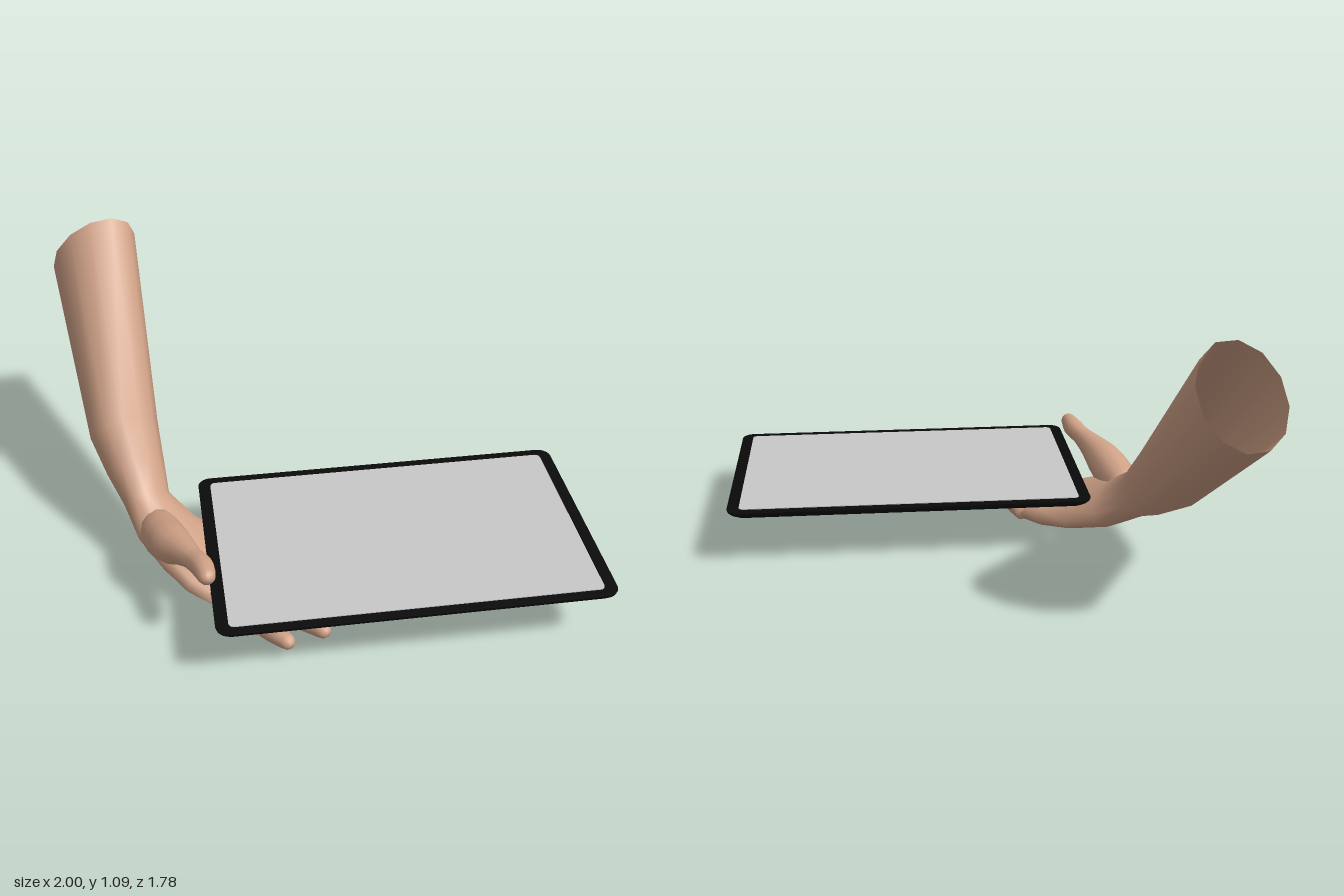
import * as THREE from 'three';

const V3 = (a) => new THREE.Vector3(a[0], a[1], a[2]);

// Skin stretched over elliptical rings; each ring is { c, u, v } (centre and two half axes)
function loft(rings, sides, capStart, capEnd) {
  const pos = [], index = [];
  for (const { c, u, v } of rings) {
    for (let i = 0; i < sides; i++) {
      const a = (i / sides) * Math.PI * 2;
      const p = c.clone().addScaledVector(u, Math.cos(a)).addScaledVector(v, Math.sin(a));
      pos.push(p.x, p.y, p.z);
    }
  }
  for (let r = 0; r < rings.length - 1; r++) {
    for (let i = 0; i < sides; i++) {
      const j = (i + 1) % sides;
      const a = r * sides + i, b = r * sides + j;
      index.push(a, b, b + sides, a, b + sides, a + sides);
    }
  }
  const cap = (r, flip) => {
    const n = pos.length / 3;
    pos.push(...rings[r].c.toArray());
    for (let i = 0; i < sides; i++) {
      const a = r * sides + i, b = r * sides + ((i + 1) % sides);
      index.push(n, flip ? b : a, flip ? a : b);
    }
  };
  if (capStart) cap(0, true);
  if (capEnd) cap(rings.length - 1, false);
  const g = new THREE.BufferGeometry();
  g.setAttribute('position', new THREE.Float32BufferAttribute(pos, 3));
  g.setIndex(index);
  g.computeVertexNormals();
  return g;
}

// Round-tipped digit along a smooth path; each point is [x, y, z, radius]
function digit(points) {
  const path = new THREE.CatmullRomCurve3(points.map(V3));
  const radii = new THREE.CatmullRomCurve3(points.map((p) => new THREE.Vector3(p[3], 0, 0)));
  const ring = (t, shrink, push) => {
    const dir = path.getTangent(t);
    const u = new THREE.Vector3(0, 1, 0).cross(dir).normalize();
    const v = dir.clone().cross(u);
    const r = radii.getPoint(t).x;
    return {
      c: path.getPoint(t).addScaledVector(dir, push * r),
      u: u.multiplyScalar(r * shrink),
      v: v.multiplyScalar(r * shrink),
    };
  };
  const rings = [];
  for (let i = 0; i <= 14; i++) rings.push(ring(i / 14, 1, 0));
  for (const a of [0.5, 0.95, 1.35]) rings.push(ring(1, Math.cos(a), Math.sin(a)));
  return loft(rings, 12, true, true);
}

function roundedRect(w, d, r) {
  const x = w / 2, y = d / 2, s = new THREE.Shape();
  s.absarc(x - r, y - r, r, 0, Math.PI / 2);
  s.absarc(-x + r, y - r, r, Math.PI / 2, Math.PI);
  s.absarc(-x + r, -y + r, r, Math.PI, Math.PI * 1.5);
  s.absarc(x - r, -y + r, r, Math.PI * 1.5, Math.PI * 2);
  return s;
}

export function createModel() {
  const skin = new THREE.MeshStandardMaterial({ color: 0xd0a287, side: THREE.DoubleSide });
  skin.name = 'skin';
  const black = new THREE.MeshStandardMaterial({ color: 0x0a0a0b });
  black.name = 'black casing';
  const grey = new THREE.MeshStandardMaterial({ color: 0xc8c8c8 });
  grey.name = 'grey screen';

  const model = new THREE.Group();
  model.name = 'handHoldingTablet';
  const add = (parent, name, geometry, material) => {
    const m = new THREE.Mesh(geometry, material);
    m.name = name;
    parent.add(m);
    return m;
  };

  // Tablet casing, tapering in towards its underside
  const tablet = new THREE.Group();
  tablet.name = 'tablet';
  tablet.position.set(0.2625, 0.21, 0.43);
  model.add(tablet);
  const W = 1.475, D = 0.92, H = 0.03;
  const casing = new THREE.ExtrudeGeometry(roundedRect(W, D, 0.05), {
    depth: H, steps: 3, bevelEnabled: false, curveSegments: 6,
  });
  const p = casing.attributes.position;
  for (let i = 0; i < p.count; i++) {
    const inset = 0.025 * (1 - p.getZ(i) / H) ** 2;
    p.setX(i, p.getX(i) * (1 - (2 * inset) / W));
    p.setY(i, p.getY(i) * (1 - (2 * inset) / D));
  }
  casing.rotateX(-Math.PI / 2);
  casing.computeVertexNormals();
  add(tablet, 'casing', casing, black);

  // Screen plate
  const screen = new THREE.ExtrudeGeometry(roundedRect(1.38, 0.845, 0.02), {
    depth: 0.003, bevelEnabled: false, curveSegments: 4,
  });
  screen.rotateX(-Math.PI / 2);
  add(tablet, 'screen', screen, grey).position.y = H;

  // Forearm, open at the elbow, flowing through the wrist into the cupped palm
  const arm = new THREE.Group();
  arm.name = 'arm';
  model.add(arm);
  const sections = [
    [[-0.825, 0.93, -0.79], [0.174, 0.05, -0.03], [0, 0.17, 0.095]],
    [[-0.755, 0.416, -0.18], [0.137, 0.02, -0.02], [0, 0.118, 0.1]],
    [[-0.72, 0.315, -0.05], [0.115, 0.01, -0.02], [0, 0.098, 0.09]],
    [[-0.685, 0.235, 0.06], [0.09, 0, -0.03], [0, 0.077, 0.075]],
    [[-0.61, 0.155, 0.16], [0.115, -0.02, -0.08], [0.01, 0.08, 0.055]],
    [[-0.51, 0.11, 0.265], [0.135, -0.035, -0.115], [0.02, 0.078, 0.03]],
    [[-0.42, 0.08, 0.345], [0.143, -0.02, -0.13], [0.01, 0.07, 0.015]],
    [[-0.335, 0.068, 0.405], [0.137, 0, -0.127], [0, 0.06, 0]],
    [[-0.3, 0.072, 0.44], [0.12, 0, -0.11], [0, 0.035, 0]],
  ].map(([c, u, v]) => ({ c: V3(c), u: V3(u), v: V3(v) }));
  add(arm, 'forearmAndPalm', loft(sections, 12, false, true), skin);

  // Fingers from knuckle to tip
  const fingers = [
    ['indexFinger', [-0.44, 0.075, 0.48], [-0.215, 0.085, 0.79], 0.05],
    ['middleFinger', [-0.36, 0.07, 0.42], [-0.08, 0.1, 0.765], 0.052],
    ['ringFinger', [-0.29, 0.068, 0.34], [-0.02, 0.135, 0.66], 0.05],
    ['littleFinger', [-0.235, 0.075, 0.27], [-0.045, 0.15, 0.53], 0.043],
  ];
  for (const [name, a, b, r] of fingers) {
    const at = (t, lift, k) => {
      const q = V3(a).lerp(V3(b), t);
      return [q.x, q.y + lift, q.z, r * k];
    };
    add(arm, name, digit([
      at(0, 0, 1), at(0.22, 0, 0.92), at(0.45, -0.003, 0.92),
      at(0.6, -0.004, 0.76), at(0.78, -0.002, 0.8), at(1, 0, 0.62),
    ]), skin);
  }

  // Thumb and its fleshy base
  add(arm, 'thumb', digit([
    [-0.655, 0.2, 0.16, 0.06], [-0.635, 0.215, 0.27, 0.083], [-0.605, 0.25, 0.37, 0.08],
    [-0.565, 0.285, 0.46, 0.058], [-0.525, 0.31, 0.55, 0.042], [-0.5, 0.325, 0.61, 0.043],
    [-0.488, 0.335, 0.675, 0.034],
  ]), skin);

  return model;
}
